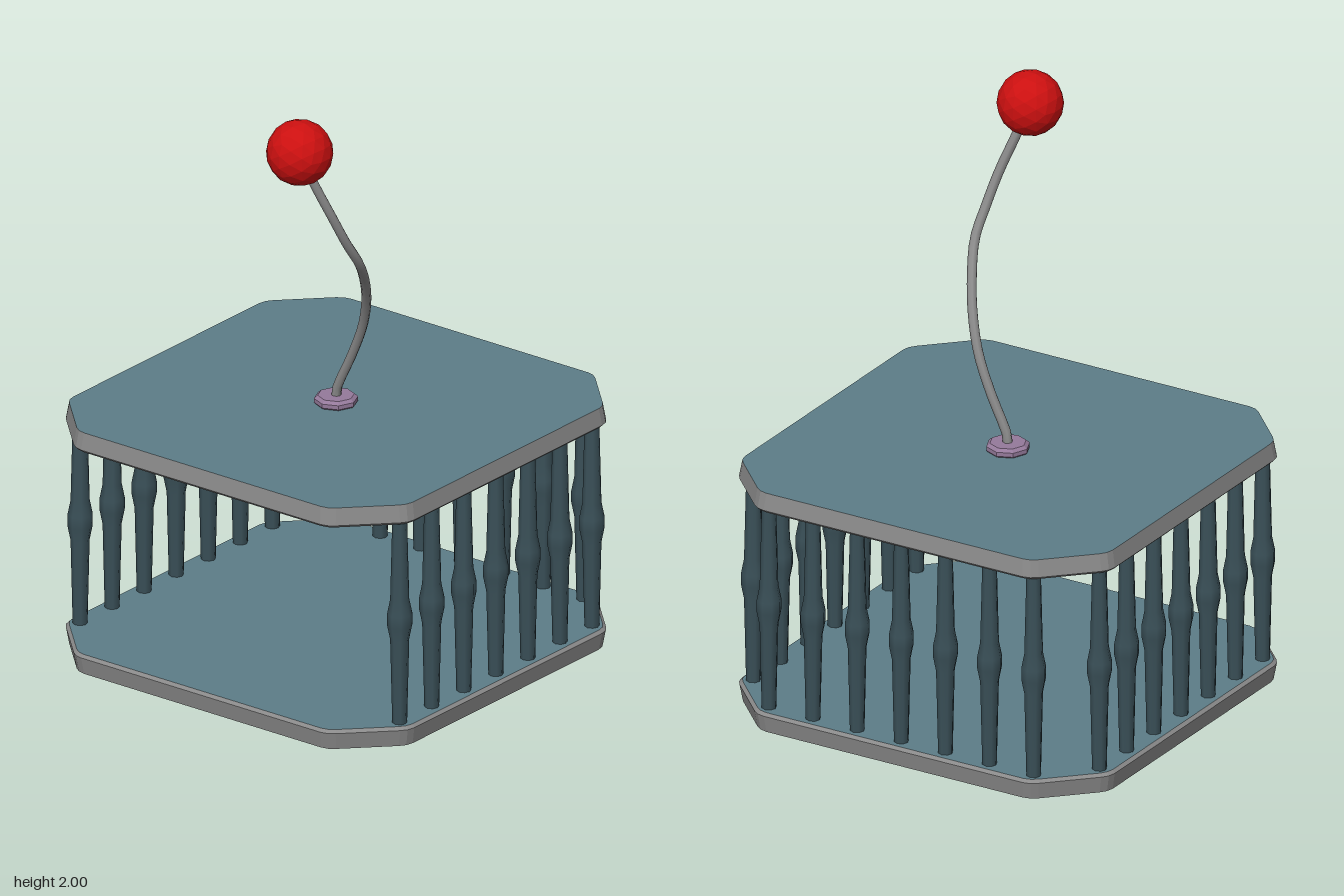
import * as THREE from 'three';

const mat = (name, color, flatShading = false) => {
  const m = new THREE.MeshStandardMaterial({ color, flatShading });
  m.name = name;
  return m;
};

// Square outline with cut corners, each softened by a middle point
function outline(half) {
  const d = half - 0.706;
  const quarter = [[0.706 + d, 0.49 + d / 2], [0.7 + d, 0.516 + d / 2], [0.685 + d, 0.537 + d / 2],
    [0.537 + d / 2, 0.685 + d], [0.516 + d / 2, 0.7 + d], [0.49 + d / 2, 0.706 + d]];
  const pts = [];
  for (let q = 0; q < 4; q++) {
    const c = Math.round(Math.cos(q * Math.PI / 2)), s = Math.round(Math.sin(q * Math.PI / 2));
    for (const [x, z] of quarter) pts.push([c * x - s * z, s * x + c * z]);
  }
  return pts;
}

// Band of quads through [half width, height] sections, listed from low to high
function rimGeometry(sections) {
  const pos = [];
  for (let k = 0; k + 1 < sections.length; k++) {
    const [h0, y0] = sections[k], [h1, y1] = sections[k + 1];
    const low = outline(h0), high = outline(h1), n = low.length;
    for (let i = 0; i < n; i++) {
      const j = (i + 1) % n;
      const a = [low[i][0], y0, low[i][1]], b = [low[j][0], y0, low[j][1]];
      const c = [high[j][0], y1, high[j][1]], d = [high[i][0], y1, high[i][1]];
      pos.push(...a, ...c, ...b, ...a, ...d, ...c);
    }
  }
  const g = new THREE.BufferGeometry();
  g.setAttribute('position', new THREE.Float32BufferAttribute(pos, 3));
  g.computeVertexNormals();
  return g;
}

// Flat panel closing the rim, facing up or down
function panelGeometry(half, y, up) {
  const shape = new THREE.Shape(outline(half).map(([x, z]) => new THREE.Vector2(x, z)));
  const g = new THREE.ShapeGeometry(shape);
  g.rotateX(up ? -Math.PI / 2 : Math.PI / 2);
  g.translate(0, y, 0);
  return g;
}

export function createModel() {
  const model = new THREE.Group();
  model.name = 'cage';
  const teal = mat('panel teal', 0x5d7d88);
  const darkTeal = mat('bar dark teal', 0x3a5058);
  const grey = mat('metal grey', 0x8a8a8a);
  const purple = mat('mount purple', 0x957a9b, true);
  const red = mat('knob red', 0xcc1010, true);

  const add = (parent, name, geometry, material) => {
    const m = new THREE.Mesh(geometry, material);
    m.name = name;
    parent.add(m);
    return m;
  };

  // Floor and roof plates: grey rims with teal faces
  const plate = (name, sections) => {
    const g = new THREE.Group();
    g.name = name;
    const [h0, y0] = sections[0], [h1, y1] = sections[sections.length - 1];
    add(g, name + 'Rim', rimGeometry(sections), grey);
    add(g, name + 'Underside', panelGeometry(h0, y0, false), teal);
    add(g, name + 'Top', panelGeometry(h1, y1, true), teal);
    model.add(g);
  };
  plate('floor', [[0.696, 0], [0.706, 0.058], [0.696, 0.068]]);
  plate('roof', [[0.696, 0.777], [0.706, 0.787], [0.696, 0.845]]);

  // Turned bars on both sides and the back; the front stays open
  const profile = [[0.024, 0.06], [0.031, 0.36], [0.041, 0.41], [0.041, 0.45], [0.031, 0.5], [0.024, 0.785]]
    .map(([r, y]) => new THREE.Vector2(r, y));
  const barGeometry = new THREE.LatheGeometry(profile, 8);
  const bars = new THREE.Group();
  bars.name = 'bars';
  for (let i = -3; i <= 3; i++) {
    const t = i * 0.167;
    add(bars, 'leftBar', barGeometry, darkTeal).position.set(0.655, 0, t);
    add(bars, 'rightBar', barGeometry, darkTeal).position.set(-0.655, 0, t);
    add(bars, 'backBar', barGeometry, darkTeal).position.set(t, 0, -0.655);
  }
  model.add(bars);

  // Bevelled mount on the roof
  const mountProfile = [[0.066, 0.843], [0.072, 0.85], [0.072, 0.864], [0.06, 0.874], [0, 0.874]]
    .map(([r, y]) => new THREE.Vector2(r, y));
  add(model, 'antennaMount', new THREE.LatheGeometry(mountProfile, 8), purple);

  // Curving antenna stalk
  const path = new THREE.CatmullRomCurve3([
    [0, 0.865, 0], [0.003, 0.895, 0], [0.065, 1.03, 0], [0.12, 1.15, 0.014], [0.165, 1.26, 0.052],
    [0.205, 1.36, 0.11], [0.242, 1.465, 0.19], [0.24, 1.55, 0.25], [0.222, 1.66, 0.305],
    [0.185, 1.78, 0.35], [0.155, 1.88, 0.38],
  ].map((p) => new THREE.Vector3(...p)));
  add(model, 'antennaStalk', new THREE.TubeGeometry(path, 28, 0.016, 8), grey);

  // Ball at the tip
  add(model, 'antennaBall', new THREE.IcosahedronGeometry(0.109, 2), red).position.set(0.15, 1.891, 0.38);

  return model;
}
